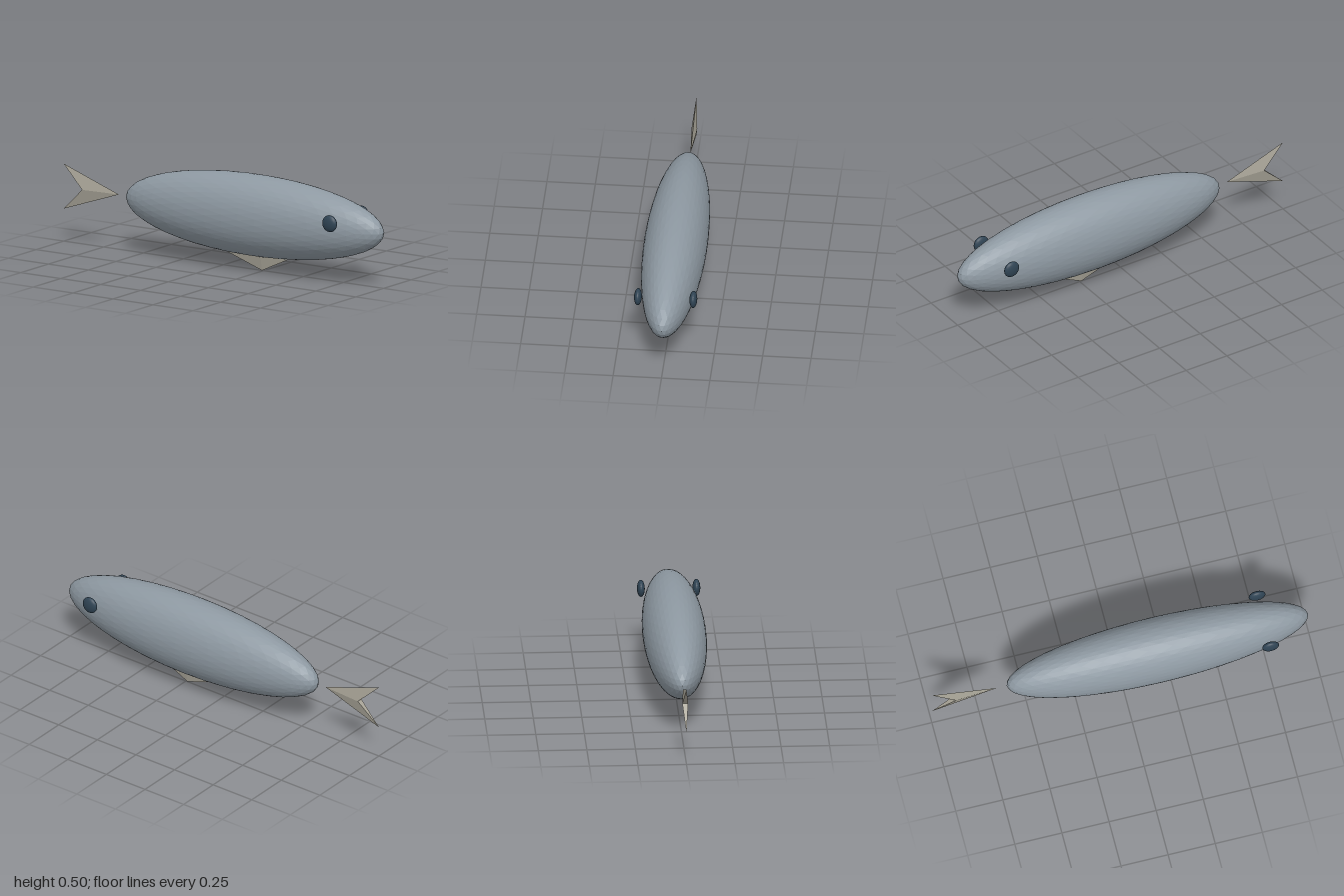
import * as THREE from 'three';

const flat = (name, color) => new THREE.MeshStandardMaterial({ name, color, flatShading: true });

// Faceted ellipsoid
function ellipsoid(name, material, detail, radii, centre) {
  const geometry = new THREE.IcosahedronGeometry(1, detail);
  geometry.scale(...radii);
  const mesh = new THREE.Mesh(geometry, material);
  mesh.name = name;
  mesh.position.set(...centre);
  return mesh;
}

// Thin dart: tip a, wing ends b and c, thickened at the root point n
function fin(name, material, a, b, c, n, halfThickness) {
  const A = [...a, 0], B = [...b, 0], C = [...c, 0];
  const F = [...n, halfThickness], K = [...n, -halfThickness];
  const faces = [A, B, F, A, F, C, A, K, B, A, C, K, F, B, K, F, K, C];
  const geometry = new THREE.BufferGeometry();
  geometry.setAttribute('position', new THREE.Float32BufferAttribute(faces.flat(), 3));
  geometry.computeVertexNormals();
  const mesh = new THREE.Mesh(geometry, material);
  mesh.name = name;
  return mesh;
}

export function createModel() {
  const skin = flat('greySkin', 0x8e99a2);
  const finSkin = flat('paleFin', 0xa9a598);
  const eyeDark = flat('darkEye', 0x2f4353);

  const group = new THREE.Group();
  group.name = 'fish';

  // Long body
  group.add(ellipsoid('body', skin, 7, [0.8, 0.214, 0.163], [0.197, 0.29, 0]));

  // Eyes, mirrored across the body
  for (const side of [1, -1]) {
    group.add(ellipsoid(side > 0 ? 'frontEye' : 'backEye', eyeDark, 7,
      [0.044, 0.044, 0.02], [0.762, 0.34, side * 0.143]));
  }

  // Forked tail, and belly fin rooted inside the body
  group.add(fin('tailFin', finSkin, [-0.655, 0.291], [-1, 0.411], [-1, 0.174], [-0.875, 0.291], 0.015));
  group.add(fin('bellyFin', finSkin, [0.24, 0.003], [0.49, 0.12], [-0.11, 0.12], [0.24, 0.12], 0.023));
  return group;
}
